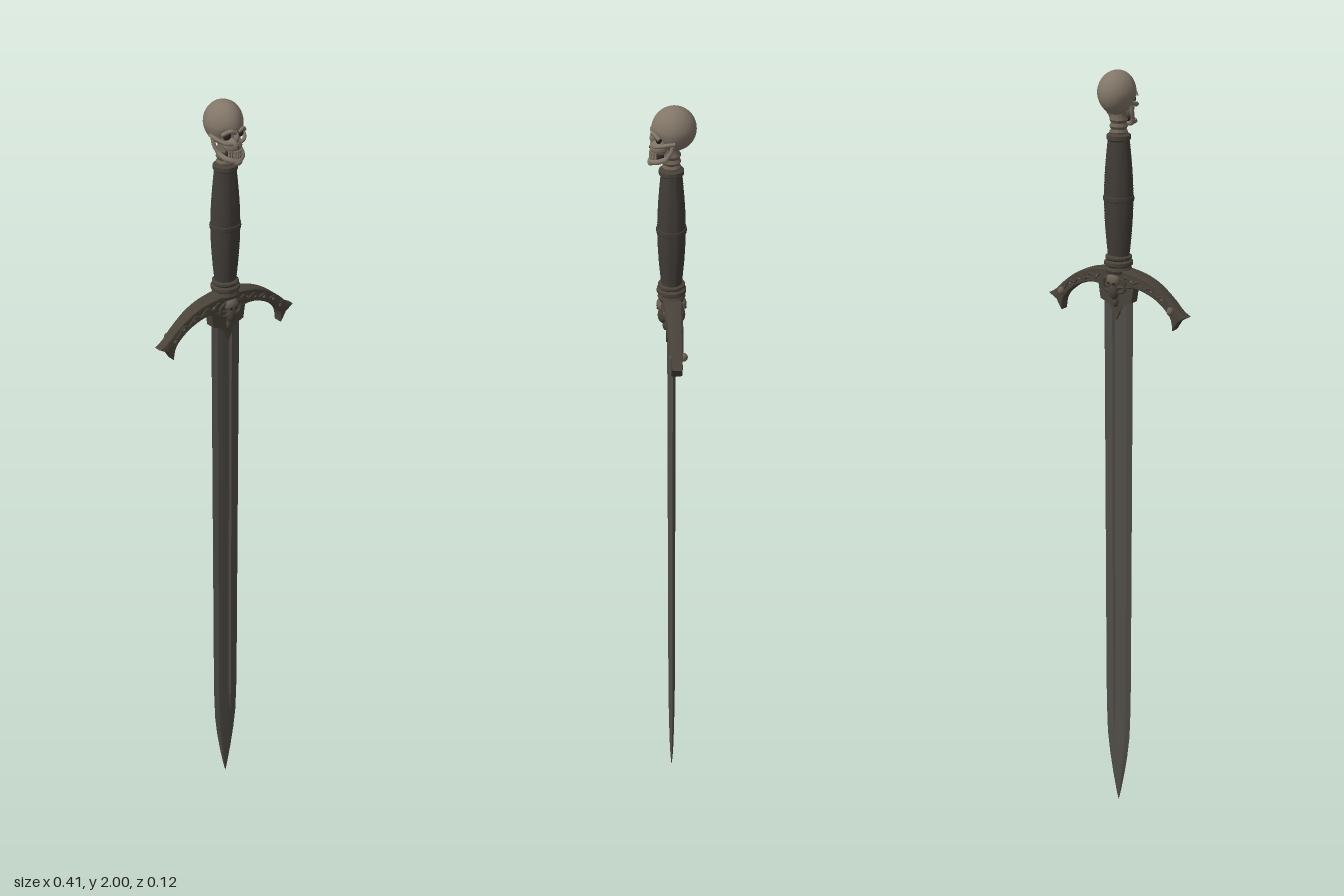
import * as THREE from 'three';
import { toCreasedNormals } from 'three/addons/utils/BufferGeometryUtils.js';

const mat = (name, color) => new THREE.MeshStandardMaterial({ name, color });
const V = (x, y, z) => new THREE.Vector3(x, y, z);

export function createModel() {
  const steel = mat('darkSteel', 0x514e49);
  const iron = mat('agedIron', 0x484239);
  const leather = mat('gripLeather', 0x403c37);
  const bone = mat('bone', 0x827668);
  const paleBone = mat('tarnishedBone', 0x6a6053);
  const hollow = mat('hollowShadow', 0x2a2622);

  const sword = new THREE.Group();
  sword.name = 'sword';
  const group = (name, parent = sword) => {
    const g = new THREE.Group();
    g.name = name;
    parent.add(g);
    return g;
  };
  const add = (parent, name, geo, material) => {
    const m = new THREE.Mesh(geo, material);
    m.name = name;
    parent.add(m);
    return m;
  };
  const ball = (parent, name, material, p, s, seg = 16) => {
    const m = add(parent, name, new THREE.SphereGeometry(1, seg, Math.ceil(seg * 0.7)), material);
    m.position.set(...p);
    m.scale.set(...s);
    return m;
  };
  const tube = (parent, name, material, pts, r, seg = 20) =>
    add(parent, name, new THREE.TubeGeometry(
      new THREE.CatmullRomCurve3(pts.map(p => V(...p))), seg, r, 8), material);
  const lathe = (parent, name, material, pts, sz = 1) => {
    const g = new THREE.LatheGeometry(pts.map(p => new THREE.Vector2(...p)), 28);
    g.scale(1, 1, sz);
    return add(parent, name, toCreasedNormals(g, 0.6), material);
  };

  // Blade: cross-sections with sharp edges and a central fuller, from tip to hilt
  const rows = [[0, 0.0005, 0.0008], [0.03, 0.008, 0.003], [0.08, 0.018, 0.005], [0.14, 0.028, 0.006],
    [0.2, 0.035, 0.007], [0.28, 0.038, 0.008], [0.36, 0.039, 0.008], [0.9, 0.041, 0.009], [1.47, 0.043, 0.01]];
  const pos = [], idx = [];
  rows.forEach(([y, w, t], i) => {
    const dip = i > 4 ? t * 0.5 : t;
    const quarter = [[0, dip], [Math.min(0.008, w * 0.3), dip], [Math.min(0.013, w * 0.4), t], [w * 0.68, t * 0.85]];
    const half = [...quarter, [w, 0], ...quarter.map(([x, z]) => [x, -z]).reverse()];
    const ring = [...half, ...half.slice(1, -1).reverse().map(([x, z]) => [-x, z])];
    ring.forEach(([x, z]) => pos.push(x, y, z));
  });
  const n = 16;
  for (let i = 0; i < rows.length - 1; i++) {
    for (let j = 0; j < n; j++) {
      const a = i * n + j, b = i * n + (j + 1) % n;
      idx.push(a, b, a + n, b, b + n, a + n);
    }
  }
  const bladeGeo = new THREE.BufferGeometry();
  bladeGeo.setAttribute('position', new THREE.Float32BufferAttribute(pos, 3));
  bladeGeo.setIndex(idx);
  add(sword, 'blade', toCreasedNormals(bladeGeo, 0.2), steel);

  // Crossguard: drooping arms with forked ends, thinner toward the tips
  const guard = group('crossguard');
  const upper = [[0, 1.508], [0.035, 1.506], [0.08, 1.497], [0.12, 1.479], [0.16, 1.449], [0.185, 1.425], [0.206, 1.413]];
  const lower = [[0.166, 1.374], [0.16, 1.405], [0.14, 1.429], [0.11, 1.45], [0.07, 1.464], [0.03, 1.462], [0, 1.455]];
  const curve = pts => new THREE.SplineCurve(pts.map(p => new THREE.Vector2(...p))).getPoints(20);
  const side = [...curve(upper), new THREE.Vector2(0.183, 1.4), ...curve(lower)];
  const outline = [...side, ...side.slice(1, -1).reverse().map(p => new THREE.Vector2(-p.x, p.y))];
  const halfDepth = x => 0.012 + 0.012 * Math.max(0, 1 - Math.abs(x) / 0.2);
  const guardGeo = new THREE.ExtrudeGeometry(new THREE.Shape(outline), {
    depth: 0.7, bevelThickness: 0.15, bevelSize: 0.003, bevelOffset: -0.003, bevelSegments: 2 });
  const gp = guardGeo.attributes.position;
  for (let i = 0; i < gp.count; i++) gp.setZ(i, (gp.getZ(i) - 0.35) * 2 * halfDepth(gp.getX(i)));
  add(guard, 'guardArms', toCreasedNormals(guardGeo, 0.5), iron);

  // Relief on both faces of the arms
  for (const s of [-1, 1]) {
    for (const f of [-1, 1]) {
      const vine = [];
      for (let i = 0; i <= 16; i++) {
        const x = 0.03 + i * 0.0085;
        const y = 1.487 - 2.8 * Math.max(0, x - 0.025) ** 2 + 0.006 * Math.sin(i * 1.6);
        vine.push([s * x, y, f * halfDepth(x)]);
      }
      tube(guard, 'vineRelief', iron, vine, 0.0028, 48);
      for (let i = 0; i < 4; i++) {
        const x = 0.05 + i * 0.029;
        ball(guard, 'reliefBead', paleBone, [s * x, 1.485 - 2.8 * (x - 0.025) ** 2, f * halfDepth(x)],
          [0.004, 0.004, 0.003], 8);
      }
    }
    ball(guard, 'backKnob', paleBone, [s * 0.163, 1.425, -0.017], [0.009, 0.011, 0.01]);
    ball(guard, 'frontKnob', paleBone, [s * 0.161, 1.425, 0.009], [0.008, 0.011, 0.007]);
  }

  // Langets over the blade root with a boss on each face
  const langet = new THREE.Shape([[-0.052, 1.465], [-0.046, 1.425], [-0.02, 1.415], [0, 1.375],
    [0.02, 1.415], [0.046, 1.425], [0.052, 1.465]].map(p => new THREE.Vector2(...p)));
  const langetGeo = new THREE.ExtrudeGeometry(langet, { depth: 0.026, bevelEnabled: false });
  langetGeo.translate(0, 0, -0.013);
  add(guard, 'langet', langetGeo, iron);
  for (const f of [-1, 1]) {
    const boss = group('guardBoss', guard);
    if (f < 0) boss.rotation.y = Math.PI;
    ball(boss, 'bossCrown', paleBone, [0, 1.482, 0.023], [0.019, 0.018, 0.014]);
    ball(boss, 'bossChin', iron, [0, 1.452, 0.021], [0.013, 0.022, 0.013]);
    ball(boss, 'bossTip', iron, [0, 1.423, 0.014], [0.008, 0.014, 0.008]);
    for (const s of [-1, 1]) {
      ball(boss, 'bossHollow', hollow, [s * 0.007, 1.475, 0.033], [0.004, 0.004, 0.004], 8);
      tube(boss, 'bossScroll', iron, [[s * 0.012, 1.49, 0.024], [s * 0.03, 1.478, 0.022],
        [s * 0.028, 1.455, 0.02], [s * 0.012, 1.45, 0.022]], 0.004);
    }
  }

  // Grip: swelling wrapped handle with collars
  const wrap = [];
  for (let i = 0; i <= 96; i++) {
    const t = i / 96;
    const y = 1.535 + t * 0.305;
    const swell = Math.max(0, 1 - Math.abs(y - 1.685) / 0.155);
    wrap.push([0.026 + 0.0105 * Math.sin(swell * Math.PI / 2) + (i % 2 ? 0.0008 : 0), y]);
  }
  const grip = group('grip');
  lathe(grip, 'wrappedHandle', leather, wrap, 0.92);
  lathe(grip, 'middleBand', leather, [[0.034, 1.677], [0.0385, 1.679], [0.0395, 1.685], [0.0385, 1.691], [0.034, 1.693]], 0.94);
  lathe(grip, 'lowerCollar', iron, [[0.03, 1.495], [0.034, 1.505], [0.03, 1.513], [0.036, 1.518], [0.036, 1.526],
    [0.03, 1.53], [0.033, 1.534], [0.033, 1.539], [0.024, 1.543]]);
  lathe(grip, 'upperCollar', iron, [[0.026, 1.828], [0.03, 1.832], [0.03, 1.842], [0.024, 1.846], [0, 1.847]]);
  lathe(grip, 'neckBone', paleBone, [[0.02, 1.843], [0.023, 1.85], [0.019, 1.857], [0.023, 1.864],
    [0.019, 1.872], [0.023, 1.88], [0.018, 1.89], [0.018, 1.91]]);

  // Skull pommel: cranium narrowed toward the face, with pressed-in temples and eye hollows
  const skull = group('skullPommel');
  const dome = new THREE.SphereGeometry(1, 48, 36);
  const dp = dome.attributes.position;
  for (let i = 0; i < dp.count; i++) {
    let x = dp.getX(i) * 0.047, y = dp.getY(i) * 0.054, z = dp.getZ(i) * 0.053;
    x *= 1 - 0.14 * Math.max(0, z / 0.053) - 0.12 * Math.max(0, -y / 0.054);
    const eye = Math.hypot(Math.abs(x) - 0.018, y + 0.018);
    if (z > 0) z -= 0.014 * Math.exp(-((eye / 0.01) ** 2));
    dp.setXYZ(i, x, y, z);
  }
  dome.computeVertexNormals();
  add(skull, 'cranium', dome, bone).position.set(0, 1.946, -0.006);
  ball(skull, 'upperJaw', bone, [0, 1.902, 0.028], [0.023, 0.022, 0.023]);
  ball(skull, 'noseBridge', bone, [0, 1.924, 0.043], [0.006, 0.014, 0.008]);
  const nose = add(skull, 'noseHollow', new THREE.ConeGeometry(0.007, 0.016, 3), hollow);
  nose.position.set(0, 1.907, 0.048);
  nose.scale.z = 0.7;
  for (const s of [-1, 1]) {
    ball(skull, 'eyeHollow', hollow, [s * 0.018, 1.927, 0.031], [0.0105, 0.01, 0.008]);
    tube(skull, 'browRidge', bone, [[s * 0.003, 1.936, 0.045], [s * 0.018, 1.942, 0.043], [s * 0.033, 1.932, 0.03]], 0.005);
    tube(skull, 'cheekbone', bone, [[s * 0.01, 1.908, 0.043], [s * 0.026, 1.912, 0.038], [s * 0.038, 1.919, 0.02],
      [s * 0.041, 1.924, -0.006]], 0.0048);
    tube(skull, 'jawHinge', bone, [[s * 0.037, 1.922, -0.002], [s * 0.036, 1.9, 0.004], [s * 0.031, 1.882, 0.014]], 0.005);
    ball(skull, 'jawCorner', bone, [s * 0.031, 1.881, 0.015], [0.005, 0.007, 0.007], 10);
  }
  tube(skull, 'lowerJaw', bone, [[-0.031, 1.881, 0.015], [-0.023, 1.872, 0.036], [0, 1.866, 0.049],
    [0.023, 1.872, 0.036], [0.031, 1.881, 0.015]], 0.0065, 32);
  ball(skull, 'chin', bone, [0, 1.863, 0.049], [0.012, 0.008, 0.008]);
  ball(skull, 'mouthHollow', hollow, [0, 1.88, 0.03], [0.02, 0.01, 0.016]);
  // Two rows of teeth around the mouth
  for (let i = -4; i <= 4; i++) {
    const a = i * 0.26;
    for (const y of [1.887, 1.877]) {
      const tooth = add(skull, 'tooth', new THREE.BoxGeometry(0.0045, 0.009, 0.004), bone);
      tooth.position.set(Math.sin(a) * 0.021, y, 0.026 + Math.cos(a) * 0.024);
      tooth.rotation.y = a;
    }
  }
  return sword;
}
